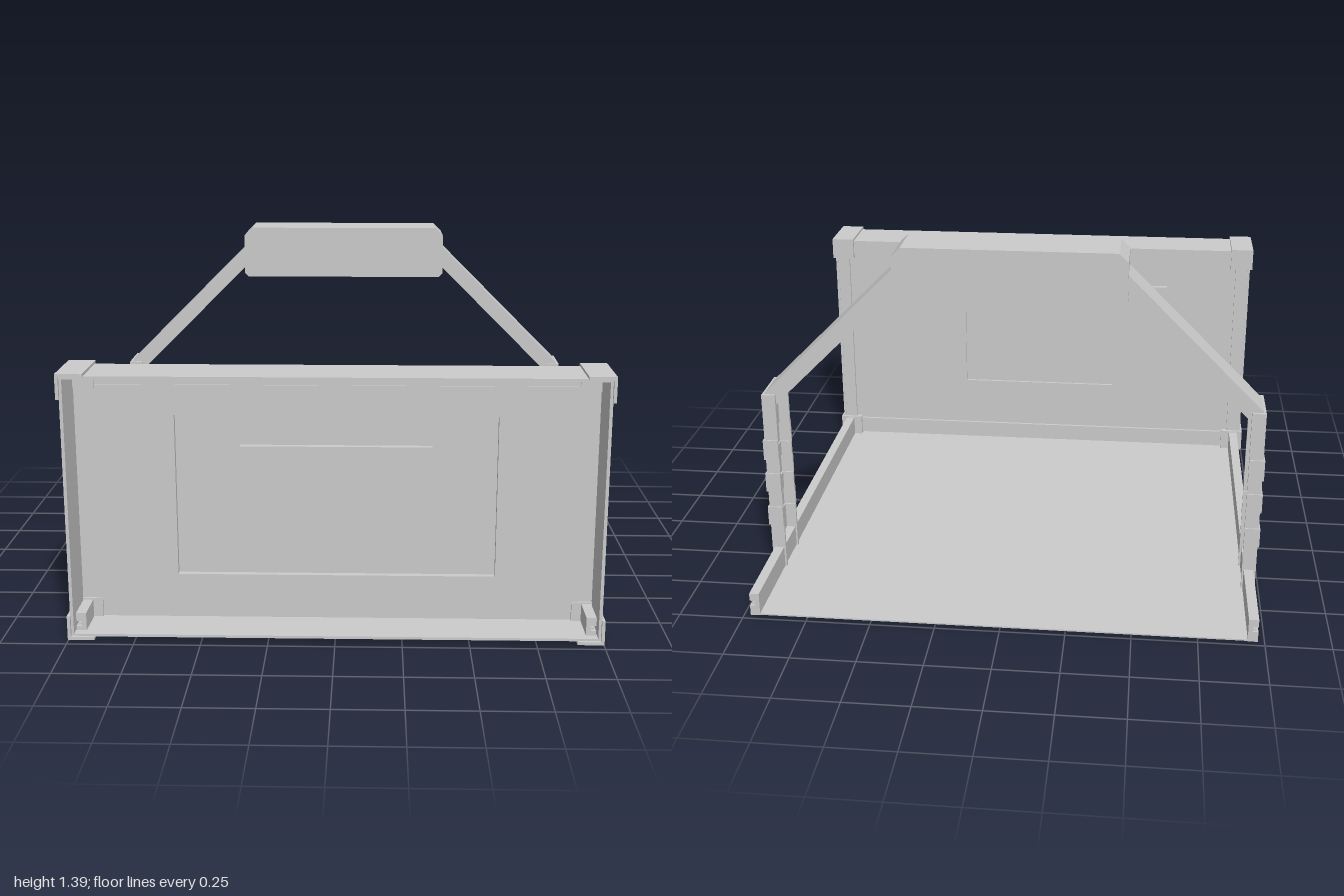
import * as THREE from 'three';

const mat = new THREE.MeshStandardMaterial({ color: 0xcccccc, flatShading: true, side: THREE.DoubleSide });

function add(parent, name, geo) {
  const m = new THREE.Mesh(geo, mat);
  m.name = name;
  parent.add(m);
  return m;
}

// Box given by its limits on each axis
function box(parent, name, x0, x1, y0, y1, z0, z1) {
  const g = new THREE.BoxGeometry(Math.abs(x1 - x0), y1 - y0, z1 - z0);
  g.translate((x0 + x1) / 2, (y0 + y1) / 2, (z0 + z1) / 2);
  return add(parent, name, g);
}

function polygon(points, Type = THREE.Shape) {
  return new Type(points.map(([x, y]) => new THREE.Vector2(x, y)));
}

const rect = (w, y0, y1) => [[-w, y0], [w, y0], [w, y1], [-w, y1]];

function prism(shape, depth) {
  return new THREE.ExtrudeGeometry(shape, { depth, bevelEnabled: false });
}

// Rectangular plate with a rectangular opening
function ring(parent, name, outer, inner, z0, z1) {
  const s = polygon(outer);
  s.holes.push(polygon(inner, THREE.Path));
  return add(parent, name, prism(s, z1 - z0).translate(0, 0, z0));
}

// Front wall: open-fronted tray with a stepped panel at its back
function buildFrontWall() {
  const g = new THREE.Group();
  g.name = 'frontWall';
  const opening = rect(0.925, 0.09, 0.945);
  const recess = rect(0.605, 0.2, 0.83);
  const centre = rect(0.36, 0.32, 0.71);
  ring(g, 'backFrame', rect(0.985, 0.016, 1.014), opening, 0.752, 0.785);
  ring(g, 'panel', opening, recess, 0.764, 0.79);
  ring(g, 'panelStep', recess, centre, 0.743, 0.766);
  add(g, 'panelCentre', prism(polygon(centre), 0.035).translate(0, 0, 0.755));
  box(g, 'topBeam', -0.99, 0.99, 1.003, 1.015, 0.752, 0.963);
  box(g, 'bottomBeam', -0.99, 0.99, 0.015, 0.025, 0.752, 0.963);
  for (const s of [-1, 1]) {
    box(g, 'sidePost', s * 0.978, s * 0.99, 0.015, 1.015, 0.75, 0.963);
    // Corner caps wrap the outside, the end and the back
    for (const [y0, y1, p0, p1] of [[0.005, 0.1, 0.005, 0.017], [0.93, 1.025, 1.012, 1.025]]) {
      const cap = new THREE.Group();
      cap.name = 'cornerCap';
      box(cap, 'capSide', s * 0.988, s, y0, y1, 0.738, 0.975);
      box(cap, 'capEnd', s * 0.9, s, p0, p1, 0.738, 0.975);
      box(cap, 'capBack', s * 0.9, s, y0, y1, 0.738, 0.795);
      g.add(cap);
    }
  }
  return g;
}

// Grooved rail running along one side of the floor
function buildRail(s) {
  const shape = polygon([[0.937, 0], [0.975, 0], [0.975, 0.042], [0.955, 0.042], [0.955, 0.063],
    [0.975, 0.063], [0.975, 0.094], [0.937, 0.094]].map(([x, y]) => [s * x, y]));
  const g = new THREE.Group();
  g.name = 'sideRail';
  add(g, 'railBody', prism(shape, 1.905).translate(0, 0, -0.975));
  box(g, 'railRib', s * 0.95, s * 0.966, 0.049, 0.056, -0.975, 0.93);
  return g;
}

// Upright channel, open to the inside, with three wider bands
function buildUpright(s) {
  const g = new THREE.Group();
  g.name = 'upright';
  const levels = [0.005, 0.2, 0.28, 0.35, 0.43, 0.49, 0.576, 0.77];
  for (let i = 0; i < levels.length - 1; i++) {
    const band = i % 2 === 1, o = band ? 0.006 : 0, t = 0.012;
    const X = 0.985 + o, a = 0.41 - o, b = 0.602 + o;
    // Shape y becomes -z once stood upright
    const shape = polygon([[0.93, a], [X, a], [X, b], [0.93, b], [0.93, b - t], [X - t, b - t],
      [X - t, a + t], [0.93, a + t]].map(([x, y]) => [s * x, y]));
    const geo = prism(shape, levels[i + 1] - levels[i]).rotateX(-Math.PI / 2);
    add(g, band ? 'uprightBand' : 'uprightSection', geo.translate(0, levels[i], 0));
  }
  return g;
}

// Sloping arm: top plate with a flange along each edge
function buildArm(s) {
  const g = new THREE.Group();
  g.name = 'slopingArm';
  const sheet = (name, drop, z0, z1) => {
    const shape = polygon([[0.977, 0.77], [0.43, 1.315], [0.43, 1.315 - drop], [0.977, 0.77 - drop]]
      .map(([x, y]) => [s * x, y]));
    add(g, name, prism(shape, z1 - z0).translate(0, 0, z0));
  };
  sheet('armPlate', 0.016, -0.582, -0.435);
  sheet('armFlange', 0.09, -0.447, -0.435);
  sheet('armFlange', 0.09, -0.582, -0.57);
  return g;
}

export function createModel() {
  const model = new THREE.Group();
  model.name = 'platformWithArch';
  model.add(buildFrontWall());
  box(model, 'floor', -0.96, 0.96, 0.002, 0.008, -0.975, 0.93);

  const arch = new THREE.Group();
  arch.name = 'arch';
  for (const s of [-1, 1]) {
    model.add(buildRail(s));
    arch.add(buildUpright(s), buildArm(s));
  }
  // Chamfered block on top of the arch
  const block = polygon([[-0.43, 1.17], [0.43, 1.17], [0.445, 1.187], [0.445, 1.355], [0.41, 1.39],
    [-0.41, 1.39], [-0.445, 1.355], [-0.445, 1.187]]);
  add(arch, 'topBlock', prism(block, 0.207).translate(0, 0, -0.607));
  model.add(arch);
  return model;
}
